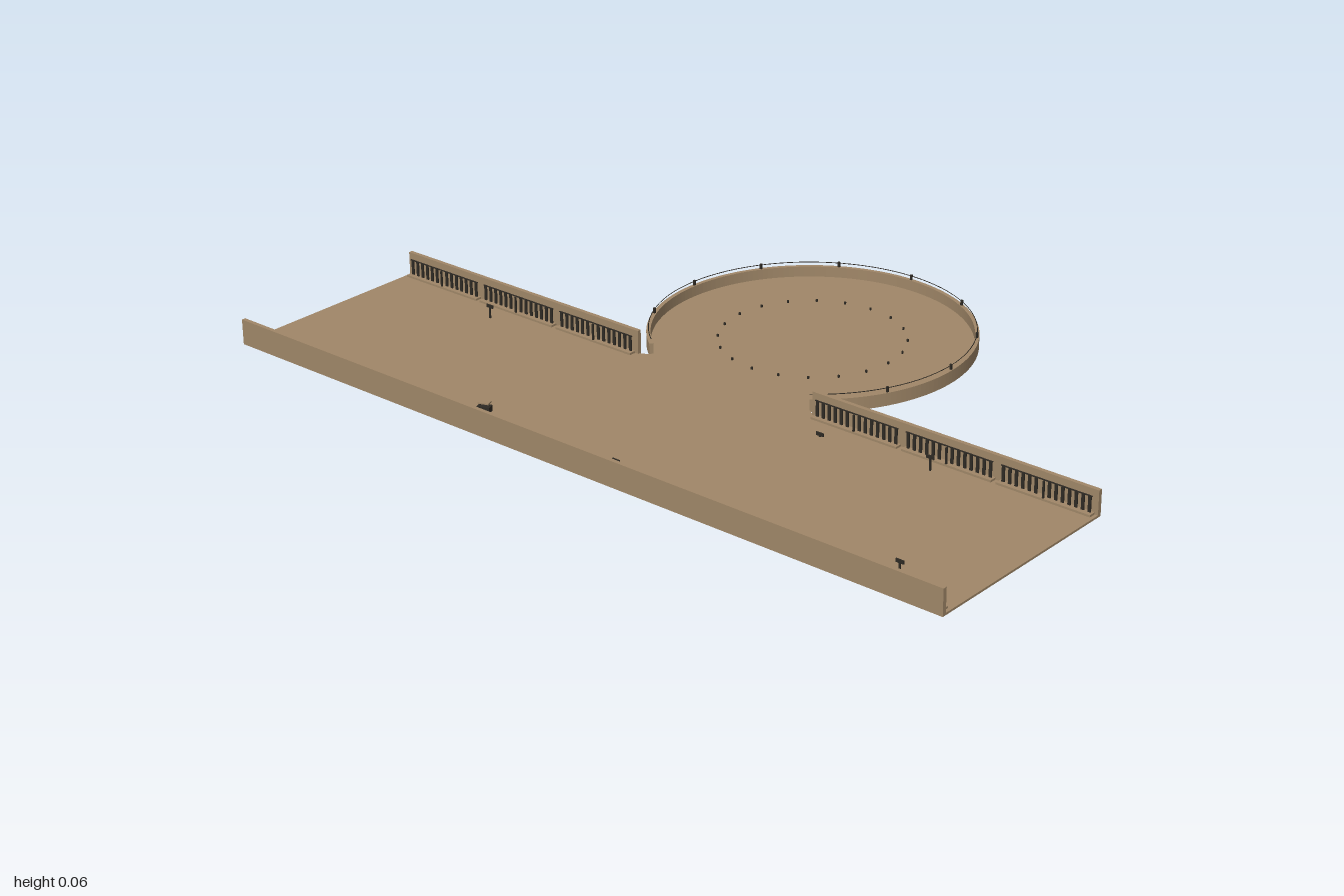
import * as THREE from 'three';

const mat = (name, color) => {
  const m = new THREE.MeshStandardMaterial({ color });
  m.name = name;
  return m;
};

export function createModel() {
  const model = new THREE.Group();
  const tan = mat('tan stone', 0xa08768);
  const dark = mat('dark metal', 0x2e2a24);
  const CZ = -0.235, R = 0.385, GAP = 0.656; // round plaza and half angle of its opening
  const H = 0.062, FLOOR = 0.005;

  const add = (parent, name, geo, material, x = 0, y = 0, z = 0) => {
    const m = new THREE.Mesh(geo, material);
    m.name = name;
    m.position.set(x, y, z);
    parent.add(m);
    return m;
  };
  // box standing on height y
  const box = (parent, name, w, h, d, x, y, z, material) =>
    add(parent, name, new THREE.BoxGeometry(w, h, d), material, x, y + h / 2, z);
  // plan outline extruded upward
  const slab = (name, shape, height) => {
    const g = new THREE.ExtrudeGeometry(shape, { depth: height, bevelEnabled: false, curveSegments: 72 });
    g.rotateX(-Math.PI / 2);
    return add(model, name, g, tan);
  };

  // floor: street with a round plaza behind it
  const a0 = -Math.PI / 2 + GAP, a1 = Math.PI * 1.5 - GAP;
  const plan = new THREE.Shape();
  plan.moveTo(-1, -0.62);
  plan.lineTo(1, -0.62);
  plan.lineTo(1, -0.08);
  plan.lineTo(0.25, -0.08);
  plan.absarc(0, -CZ, R, a0, a1, false);
  plan.lineTo(-0.25, -0.08);
  plan.lineTo(-1, -0.08);
  slab('floor', plan, FLOOR);

  // low curved wall round the plaza
  const ring = new THREE.Shape();
  ring.absarc(0, -CZ, R, a0, a1, false);
  ring.absarc(0, -CZ, R - 0.01, a1, a0, true);
  slab('plazaWall', ring, 0.031);

  // railing on the curved wall
  const railing = new THREE.Group();
  railing.name = 'plazaRailing';
  model.add(railing);
  const arc = new THREE.TorusGeometry(R - 0.005, 0.001, 4, 72, a1 - a0);
  arc.rotateZ(a0);
  arc.rotateX(-Math.PI / 2);
  add(railing, 'handrail', arc, dark, 0, 0.041, CZ);
  for (let i = -4; i <= 4; i++) {
    const a = i * 0.505;
    box(railing, 'railPost', 0.005, 0.014, 0.005,
      (R - 0.005) * Math.sin(a), 0.03, CZ - (R - 0.005) * Math.cos(a), dark);
  }

  // ring of small studs on the plaza floor
  for (let i = 0; i < 20; i++) {
    const a = i * Math.PI / 10;
    box(model, 'floorStud', 0.004, 0.006, 0.004,
      0.22 * Math.sin(a), FLOOR, CZ + 0.22 * Math.cos(a), dark);
  }

  // one bay of barred front along a wall; s is the direction into the street
  const bay = (x, z, s) => {
    const g = new THREE.Group();
    g.name = 'barredBay';
    g.position.set(x, 0, z);
    model.add(g);
    box(g, 'ledge', 0.234, 0.005, 0.02, 0, FLOOR, s * 0.018, tan);
    box(g, 'topRail', 0.226, 0.002, 0.003, 0, 0.046, s * 0.016, dark);
    for (let i = 0; i < 14; i++) {
      if (i === 6) continue;
      box(g, 'bar', 0.007, 0.037, 0.003, -0.107 + i * 0.0165, 0.01, s * 0.016, dark);
    }
    box(g, 'lampPost', 0.004, 0.044, 0.004, 0, FLOOR, s * 0.025, dark);
  };

  // street walls
  box(model, 'frontWall', 2, H, 0.01, 0, 0, 0.615, tan);
  for (let i = 0; i < 8; i++) bay(-0.875 + i * 0.25, 0.62, -1);
  for (const side of [-1, 1]) {
    box(model, 'backWall', 0.745, H, 0.01, side * 0.6275, 0, 0.081, tan);
    for (let i = 0; i < 3; i++) bay(side * (0.875 - i * 0.247), 0.076, 1);
  }

  // small standing signs on the street
  for (const [x, z, h] of [[-0.66, 0.155, 0.034], [0.335, 0.16, 0.01], [0.615, 0.14, 0.036],
    [0.12, 0.575, 0.036], [0.84, 0.545, 0.034]]) {
    box(model, 'signPost', 0.004, h, 0.003, x, FLOOR, z, dark);
    box(model, 'signPlate', 0.02, 0.008, 0.003, x, FLOOR + h - 0.008, z, dark);
  }

  // little cart
  const cart = new THREE.Group();
  cart.name = 'cart';
  cart.position.set(-0.305, 0, 0.535);
  cart.rotation.y = 0.35;
  model.add(cart);
  box(cart, 'cartBody', 0.03, 0.012, 0.018, 0, 0.01, 0, dark);
  box(cart, 'cartRoof', 0.026, 0.003, 0.016, 0, 0.028, 0, tan);
  for (const x of [-0.011, 0.011]) {
    box(cart, 'cartPole', 0.002, 0.008, 0.002, x, 0.021, 0, dark);
    for (const z of [-0.008, 0.008]) {
      const wheel = new THREE.CylinderGeometry(0.004, 0.004, 0.003, 10);
      wheel.rotateX(Math.PI / 2);
      add(cart, 'cartWheel', wheel, dark, x, 0.009, z);
    }
  }
  return model;
}
